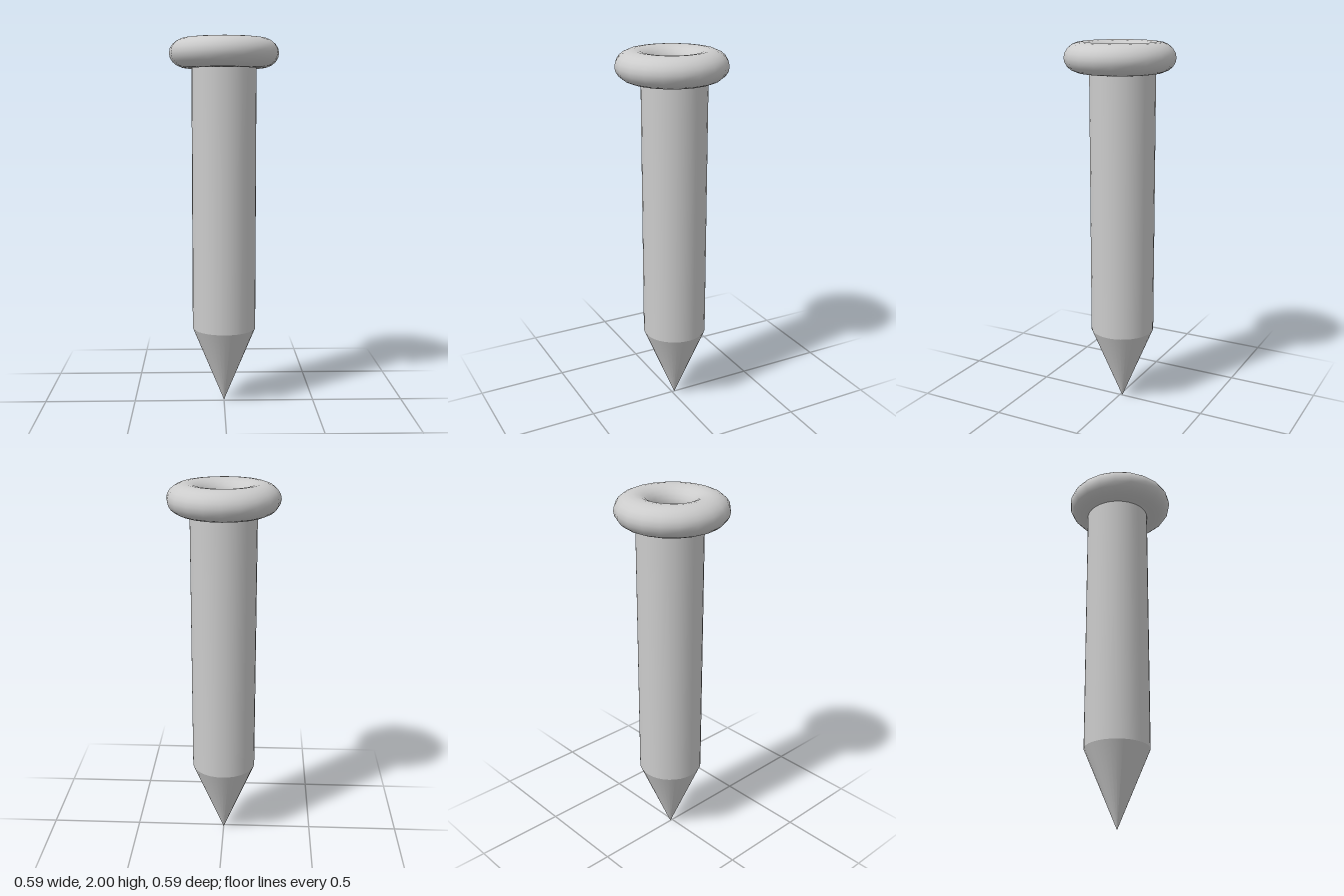
import * as THREE from 'three';

export function createModel() {
  const model = new THREE.Group();
  const material = new THREE.MeshStandardMaterial({ color: 0xcccccc });

  const headY = 1.92;
  const shaftRadius = 0.174;
  const shaftBottom = 0.42;
  const shaftTop = 1.86;
  const shaftZ = -0.015; // the shaft sits slightly behind the head's centre

  function addPart(name, geometry, y, z) {
    const mesh = new THREE.Mesh(geometry, material);
    mesh.name = name;
    mesh.position.set(0, y, z);
    model.add(mesh);
  }

  // Ring-shaped head, slightly flattened, with 20 sides around
  const head = new THREE.TorusGeometry(0.195, 0.098, 20, 20);
  head.rotateX(Math.PI / 2);
  head.scale(1, 0.08 / 0.098, 1);
  addPart('head', head, headY, 0);

  // Straight round shaft, its top closing the hole in the head
  const length = shaftTop - shaftBottom;
  addPart('shaft', new THREE.CylinderGeometry(shaftRadius, shaftRadius, length, 32),
    shaftBottom + length / 2, shaftZ);

  // Pointed tip
  const tip = new THREE.ConeGeometry(shaftRadius, shaftBottom, 32, 1, true);
  tip.rotateX(Math.PI);
  addPart('tip', tip, shaftBottom / 2, shaftZ);

  return model;
}
